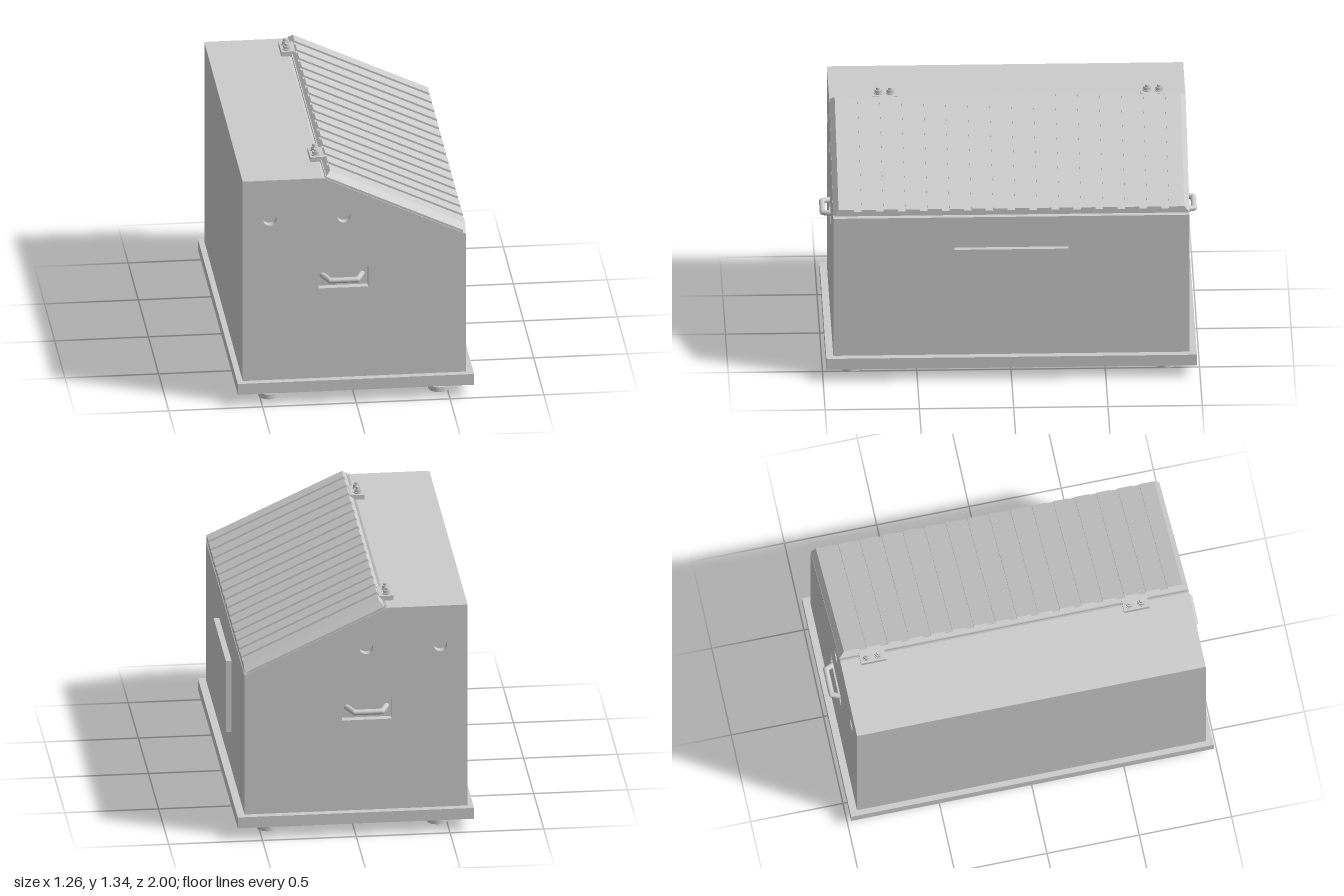
import * as THREE from 'three';

const material = new THREE.MeshStandardMaterial({ color: 0xcccccc });
const END_Z = 0.945, POCKET = 0.04;
const ROOF_A = [-0.17, 1.28], ROOF_B = [0.59, 0.925];

// Height of the sloping roof at x
const roofY = x => ROOF_A[1] + (x - ROOF_A[0]) * (ROOF_B[1] - ROOF_A[1]) / (ROOF_B[0] - ROOF_A[0]);

function add(parent, name, geometry, x = 0, y = 0, z = 0) {
  const mesh = new THREE.Mesh(geometry, material);
  mesh.name = name;
  mesh.position.set(x, y, z);
  parent.add(mesh);
  return mesh;
}

// Box given by its limits on each axis
function box(parent, name, [x0, x1], [y0, y1], [z0, z1]) {
  return add(parent, name, new THREE.BoxGeometry(x1 - x0, y1 - y0, z1 - z0),
    (x0 + x1) / 2, (y0 + y1) / 2, (z0 + z1) / 2);
}

const shapeOf = points => new THREE.Shape(points.map(p => new THREE.Vector2(...p)));
const extrude = (shape, depth) =>
  new THREE.ExtrudeGeometry(shape, { depth, bevelEnabled: false, curveSegments: 24 });

// Round bar between two points
function rod(parent, name, a, b, r) {
  const dir = b.clone().sub(a);
  const mesh = add(parent, name, new THREE.CylinderGeometry(r, r, dir.length(), 16));
  mesh.position.copy(a).add(b).multiplyScalar(0.5);
  mesh.quaternion.setFromUnitVectors(new THREE.Vector3(0, 1, 0), dir.normalize());
}

function buildHousing(parent) {
  const outline = [[-0.6, 0.13], [0.59, 0.13], ROOF_B, ROOF_A, [-0.6, 1.28]];
  const coreZ = END_Z - POCKET;
  add(parent, 'housingCore', extrude(shapeOf(outline), 2 * coreZ), 0, 0, -coreZ);

  // End walls with two round holes and a handle pocket
  const wall = shapeOf(outline);
  for (const x of [-0.455, -0.06]) {
    wall.holes.push(new THREE.Path().absarc(x, 1.055, 0.035, 0, Math.PI * 2, true));
  }
  wall.holes.push(new THREE.Path([[-0.195, 0.645], [-0.195, 0.765], [0.07, 0.765], [0.07, 0.645]]
    .map(p => new THREE.Vector2(...p))));
  add(parent, 'frontWall', extrude(wall, POCKET), 0, 0, coreZ);
  add(parent, 'backWall', extrude(wall, POCKET), 0, 0, -END_Z);
}

function buildHandle(parent, name, side) {
  const handle = new THREE.Group();
  handle.name = name;
  const r = 0.015;
  const path = [[-0.172, 0.9], [-0.138, 0.985], [0.008, 0.985], [0.042, 0.9]]
    .map(([x, z]) => new THREE.Vector3(x, 0.705, z * side));
  for (let i = 0; i < 3; i++) rod(handle, i === 1 ? 'grip' : 'handleLeg', path[i], path[i + 1], r);
  for (const p of [path[1], path[2]]) {
    add(handle, 'handleBend', new THREE.SphereGeometry(r, 16, 12), p.x, p.y, p.z);
  }
  parent.add(handle);
}

function buildLid(parent) {
  // Thin seal between housing and lid
  const seal = shapeOf([[-0.16, roofY(-0.16) - 0.003], [0.575, roofY(0.575) - 0.003],
    [0.575, roofY(0.575) + 0.016], [-0.16, roofY(-0.16) + 0.016]]);
  add(parent, 'lidSeal', extrude(seal, 1.88), 0, 0, -0.94);

  // Grooved section with chamfered sides, swept down the slope
  const H = 0.035, groove = 0.011, pitch = 0.1165, half = 0.02;
  const section = [[-END_Z, 0], [END_Z, 0], [0.917, H]];
  for (let k = 7; k >= -7; k--) {
    const c = k * pitch;
    section.push([c + half, H], [c + half, H - groove], [c - half, H - groove], [c - half, H]);
  }
  section.push([-0.917, H]);
  const geometry = extrude(shapeOf(section), 1);
  const pos = geometry.attributes.position;
  for (let i = 0; i < pos.count; i++) {
    const u = pos.getX(i), h = pos.getY(i), t = pos.getZ(i);
    const x = THREE.MathUtils.lerp(-0.155 + 0.7 * h, 0.59, t);
    pos.setXYZ(i, x, roofY(x) + 0.015 + h, -u);
  }
  geometry.computeVertexNormals();
  add(parent, 'groovedLid', geometry);
}

function buildClamp(parent, z) {
  const clamp = new THREE.Group();
  clamp.name = 'lidClamp';
  box(clamp, 'clampPlate', [-0.215, -0.14], [1.275, 1.306], [-0.068, 0.068]);
  for (const dz of [-0.032, 0.032]) {
    add(clamp, 'washer', new THREE.CylinderGeometry(0.023, 0.023, 0.005, 20), -0.183, 1.3085, dz);
    add(clamp, 'nut', new THREE.CylinderGeometry(0.02, 0.02, 0.017, 6).toNonIndexed(), -0.183, 1.3195, dz);
    add(clamp, 'stud', new THREE.CylinderGeometry(0.011, 0.012, 0.012, 16), -0.183, 1.334, dz);
  }
  clamp.position.z = z;
  parent.add(clamp);
}

export function createModel() {
  const model = new THREE.Group();
  model.name = 'equipmentCabinet';

  box(model, 'basePlate', [-0.63, 0.63], [0.068, 0.13], [-0.983, 0.983]);
  buildHousing(model);
  box(model, 'sidePanel', [0.58, 0.62], [0.343, 0.75], [-0.303, 0.303]);
  buildLid(model);
  buildHandle(model, 'frontHandle', 1);
  buildHandle(model, 'backHandle', -1);
  for (const z of [0.652, -0.773]) buildClamp(model, z);

  // Levelling feet
  for (const x of [-0.45, 0.455]) {
    for (const z of [0.848, -0.82]) {
      add(model, 'footPad', new THREE.CylinderGeometry(0.055, 0.055, 0.027, 32), x, 0.0135, z);
      add(model, 'footStem', new THREE.CylinderGeometry(0.021, 0.021, 0.046, 24), x, 0.048, z);
    }
  }
  return model;
}
